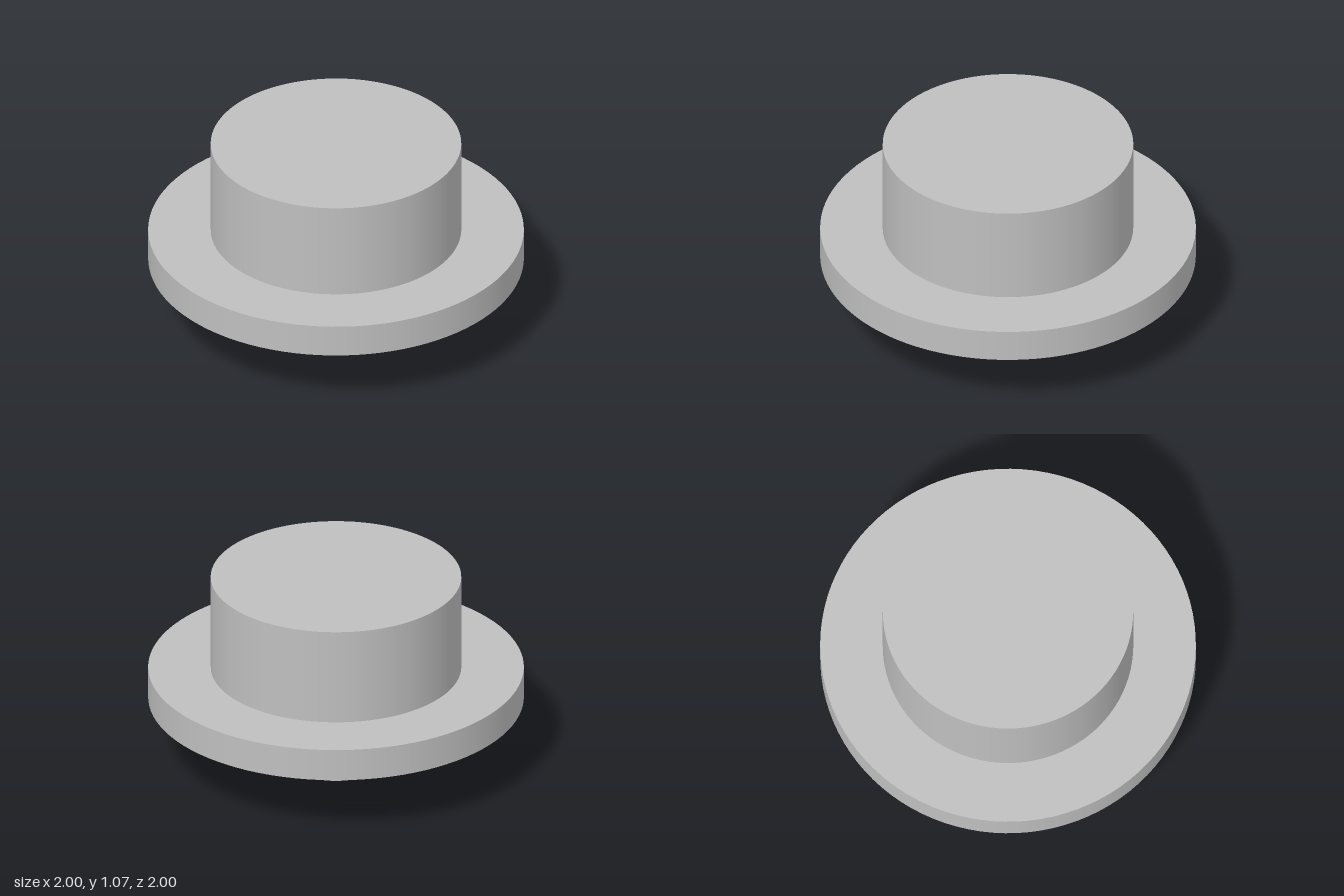
import * as THREE from 'three';

export function createModel() {
  const group = new THREE.Group();
  const grey = new THREE.MeshStandardMaterial({ color: 0xbfbfbf });
  grey.name = 'light grey';

  // Upright disc between two heights
  const addDisc = (name, radius, bottom, top) => {
    const geometry = new THREE.CylinderGeometry(radius, radius, top - bottom, 96);
    const mesh = new THREE.Mesh(geometry, grey);
    mesh.name = name;
    mesh.position.y = (bottom + top) / 2;
    group.add(mesh);
  };

  addDisc('stem', 0.286, 0, 0.357);
  addDisc('flange', 1, 0.357, 0.536);
  addDisc('cap', 0.667, 0.536, 1.071);

  return group;
}
